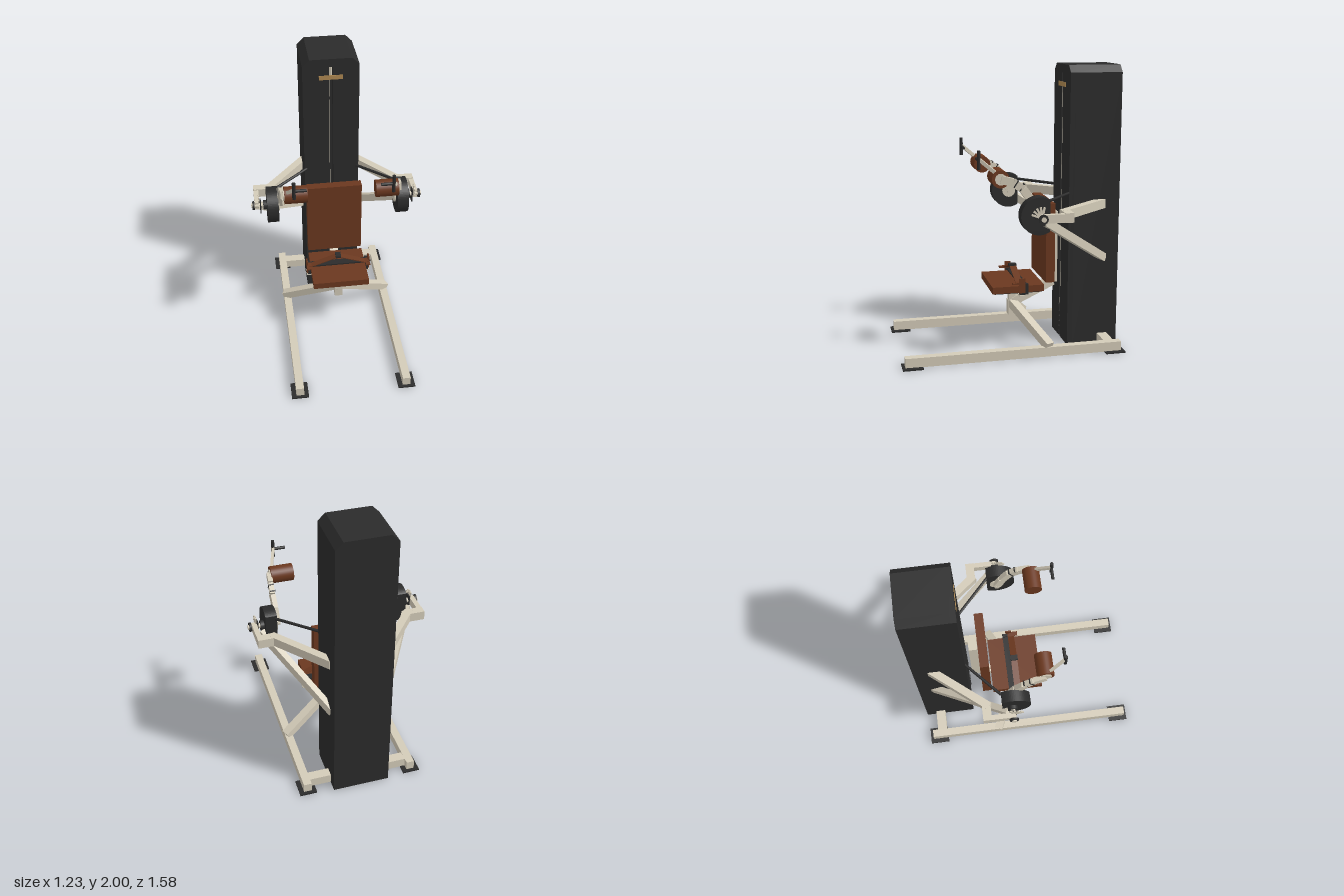
import * as THREE from 'three';

const mat = (name, color) => Object.assign(new THREE.MeshStandardMaterial({ color }), { name });

export function createModel() {
  const dark = mat('charcoal', 0x2b2b2b);
  const cream = mat('cream steel', 0xd3cbb8);
  const brown = mat('brown leather', 0x6b381f);
  const tan = mat('tan label', 0xb08a52);
  const model = new THREE.Group();
  model.name = 'exerciseMachine';

  const add = (name, geo, m, x = 0, y = 0, z = 0, parent = model) => {
    const mesh = new THREE.Mesh(geo, m);
    mesh.name = name;
    mesh.position.set(x, y, z);
    parent.add(mesh);
    return mesh;
  };
  // Box given by its minimum and maximum corners
  const box = (name, m, x0, x1, y0, y1, z0, z1, parent) =>
    add(name, new THREE.BoxGeometry(x1 - x0, y1 - y0, z1 - z0), m,
      (x0 + x1) / 2, (y0 + y1) / 2, (z0 + z1) / 2, parent);
  // Rectangular tube between two points
  const beam = (name, m, a, b, w, h, parent) => {
    const p = new THREE.Vector3(...a), q = new THREE.Vector3(...b);
    const mesh = add(name, new THREE.BoxGeometry(w, h, p.distanceTo(q)), m, 0, 0, 0, parent);
    mesh.position.copy(p).add(q).multiplyScalar(0.5);
    mesh.quaternion.setFromUnitVectors(new THREE.Vector3(0, 0, 1), new THREE.Vector3(0, 0, 1));
    const up = new THREE.Matrix4().lookAt(q, p, new THREE.Vector3(0, 1, 0));
    mesh.quaternion.setFromRotationMatrix(up);
    return mesh;
  };
  // Round rod between two points
  const rod = (name, m, a, b, r, parent, sides = 16) => {
    const p = new THREE.Vector3(...a), q = new THREE.Vector3(...b);
    const mesh = add(name, new THREE.CylinderGeometry(r, r, p.distanceTo(q), sides), m, 0, 0, 0, parent);
    mesh.position.copy(p).add(q).multiplyScalar(0.5);
    mesh.quaternion.setFromUnitVectors(new THREE.Vector3(0, 1, 0), q.sub(p).normalize());
    return mesh;
  };
  const outline = pts => new THREE.Shape(pts.map(p => new THREE.Vector2(...p)));
  const extrude = (shape, depth) => new THREE.ExtrudeGeometry(shape, { depth, bevelEnabled: false, curveSegments: 24 });

  // Weight tower: chamfered shell with a slotted front
  const body = [[-0.2, 0], [0.2, 0], [0.2, 1.95], [0.15, 2], [-0.15, 2], [-0.2, 1.95]];
  add('towerBody', extrude(outline(body), 0.33), dark, 0, 0, -0.79);
  const slot = [[-0.2, 0], [-0.013, 0], [-0.013, 1.94], [0.013, 1.94], [0.013, 0], ...body.slice(1)];
  slot.pop();
  slot.push([-0.2, 1.95]);
  add('towerFront', extrude(outline(slot), 0.04), dark, 0, 0, -0.46);
  box('slotLining', cream, -0.013, -0.009, 0.25, 1.94, -0.455, -0.425);
  rod('guideRod', cream, [0, 1.86, -0.43], [0, 1.94, -0.43], 0.008);
  box('towerLabel', tan, -0.085, 0.085, 1.845, 1.877, -0.424, -0.416);
  box('selectorPin', dark, -0.012, 0.012, 0.23, 0.25, -0.44, -0.41);
  for (let i = 0; i < 4; i++)
    rod('stackPin', dark, [0, 0.05 + i * 0.04, -0.425], [0, 0.075 + i * 0.04, -0.425], 0.012);

  // Base cross rail
  box('crossRail', cream, -0.38, 0.38, 0.008, 0.073, -0.715, -0.645);

  // Central seat support
  box('supportFoot', cream, -0.03, 0.03, 0.2, 0.31, -0.085, -0.025);
  box('seatColumn', cream, -0.024, 0.024, 0.3, 0.412, -0.08, -0.03);
  beam('backBrace', cream, [0, 0.295, -0.06], [0, 0.435, -0.36], 0.06, 0.06);
  box('backPost', cream, -0.035, 0.035, 0.43, 0.955, -0.388, -0.325);

  // Upholstery
  box('backrest', brown, -0.203, 0.203, 0.48, 1.05, -0.322, -0.257);
  box('seatBase', dark, -0.185, 0.185, 0.41, 0.42, -0.235, 0.11);
  box('seat', brown, -0.205, 0.205, 0.42, 0.468, -0.245, 0.127);

  // Lap belt with buckle
  const belt = outline([[-0.235, 0.5], [-0.2, 0.5], [0, 0.572], [0.2, 0.5], [0.235, 0.5],
    [0.235, 0.494], [0.2, 0.494], [0, 0.566], [-0.2, 0.494], [-0.235, 0.494]].reverse());
  add('lapBelt', extrude(belt, 0.048), brown, 0, 0, -0.085);
  box('buckle', dark, -0.02, 0.02, 0.562, 0.578, -0.087, -0.033);
  box('beltStrap', dark, -0.228, 0.228, 0.468, 0.478, -0.125, -0.07);

  // Parts repeated on both sides
  for (const s of [1, -1]) {
    const side = new THREE.Group();
    side.name = s > 0 ? 'leftSide' : 'rightSide';
    model.add(side);
    const P = (x, y, z) => [s * x, y, z];
    const sbox = (name, m, x0, x1, ...r) =>
      box(name, m, Math.min(s * x0, s * x1), Math.max(s * x0, s * x1), ...r, side);

    // Floor rail, pads and diagonal leg
    sbox('floorRail', cream, 0.352, 0.408, 0.008, 0.075, -0.757, 0.77);
    sbox('frontPad', dark, 0.32, 0.44, 0, 0.01, 0.65, 0.79);
    sbox('rearPad', dark, 0.32, 0.44, 0, 0.01, -0.78, -0.64);
    beam('seatLeg', cream, P(0.4, 0.08, -0.235), P(0.01, 0.29, -0.055), 0.06, 0.055, side);

    // Belt anchors
    sbox('beltTab', brown, 0.227, 0.237, 0.425, 0.53, -0.1, -0.055);
    sbox('beltLoop', brown, 0.205, 0.237, 0.488, 0.498, -0.085, -0.01);
    sbox('beltClip', dark, 0.206, 0.23, 0.41, 0.488, -0.125, -0.06);
    sbox('clipBracket', cream, 0.15, 0.237, 0.4, 0.409, -0.125, -0.06);

    // Outrigger frame
    beam('upperBeam', cream, P(0.18, 1.033, -0.67), P(0.49, 1.033, -0.29), 0.055, 0.065, side);
    sbox('outriggerElbow', cream, 0.46, 0.59, 1.0, 1.065, -0.34, -0.28);
    sbox('outriggerArm', cream, 0.555, 0.59, 1.003, 1.06, -0.29, -0.12);
    beam('lowerStrut', cream, P(0.18, 0.635, -0.69), P(0.53, 1.0, -0.16), 0.045, 0.055, side);

    // Pivot axle, collars and angle indicator
    rod('axle', cream, P(0.39, 1.033, -0.13), P(0.615, 1.033, -0.13), 0.017, side);
    rod('outerCollar', dark, P(0.592, 1.033, -0.13), P(0.607, 1.033, -0.13), 0.032, side);
    rod('innerCollar', dark, P(0.5, 1.033, -0.13), P(0.53, 1.033, -0.13), 0.035, side);
    sbox('stopPlate', dark, 0.545, 0.553, 0.975, 1.075, -0.155, -0.105);
    for (let i = 0; i < 5; i++) {
      const a = 0.35 + i * 0.36;
      beam('indicatorFinger', cream, P(0.56, 1.033, -0.13),
        P(0.56, 1.033 + 0.075 * Math.sin(a), -0.13 + 0.075 * Math.cos(a)), 0.008, 0.014, side);
    }

    // Cam disc with a flattened rear edge
    const cam = new THREE.Shape();
    cam.absarc(0, 0, 0.128, -2.15, 2.15, false);
    cam.closePath();
    const disc = add('camDisc', extrude(cam, 0.08), dark, s * 0.465 + 0.04, 1.033, -0.13, side);
    disc.rotation.y = -Math.PI / 2;
    rod('camHub', cream, P(0.415, 1.033, -0.13), P(0.425, 1.033, -0.13), 0.05, side);

    // Drive cable
    rod('driveCable', dark, P(0.17, 1.117, -0.44), P(0.435, 1.117, -0.2), 0.01, side, 8);

    // Bent lever arm
    const arm = [[0.41, 1.04, -0.13], [0.412, 1.13, -0.09], [0.415, 1.205, -0.035],
      [0.408, 1.25, 0.03], [0.4, 1.272, 0.11]];
    for (let i = 0; i < arm.length - 1; i++)
      beam('leverArm', cream, P(...arm[i]), P(...arm[i + 1]), 0.034, 0.055, side);
    for (const [y, z] of [[1.24, 0.01], [1.215, -0.03]])
      beam('armBand', dark, P(0.412, y, z), P(0.412, y + 0.004, z + 0.006), 0.037, 0.058, side);

    // Roller pad with its end plate
    rod('rollerPad', brown, P(0.235, 1.27, 0.11), P(0.393, 1.27, 0.11), 0.06, side, 32);
    rod('rollerPlate', cream, P(0.393, 1.27, 0.11), P(0.4, 1.27, 0.11), 0.04, side, 10);

    // Handle stem and grips
    beam('handleStem', cream, P(0.385, 1.285, 0.11), P(0.333, 1.4, 0.245), 0.018, 0.024, side);
    rod('uprightGrip', dark, P(0.335, 1.33, 0.247), P(0.335, 1.457, 0.247), 0.012, side);
    rod('crossGrip', dark, P(0.25, 1.392, 0.245), P(0.34, 1.392, 0.245), 0.011, side);
  }
  return model;
}
